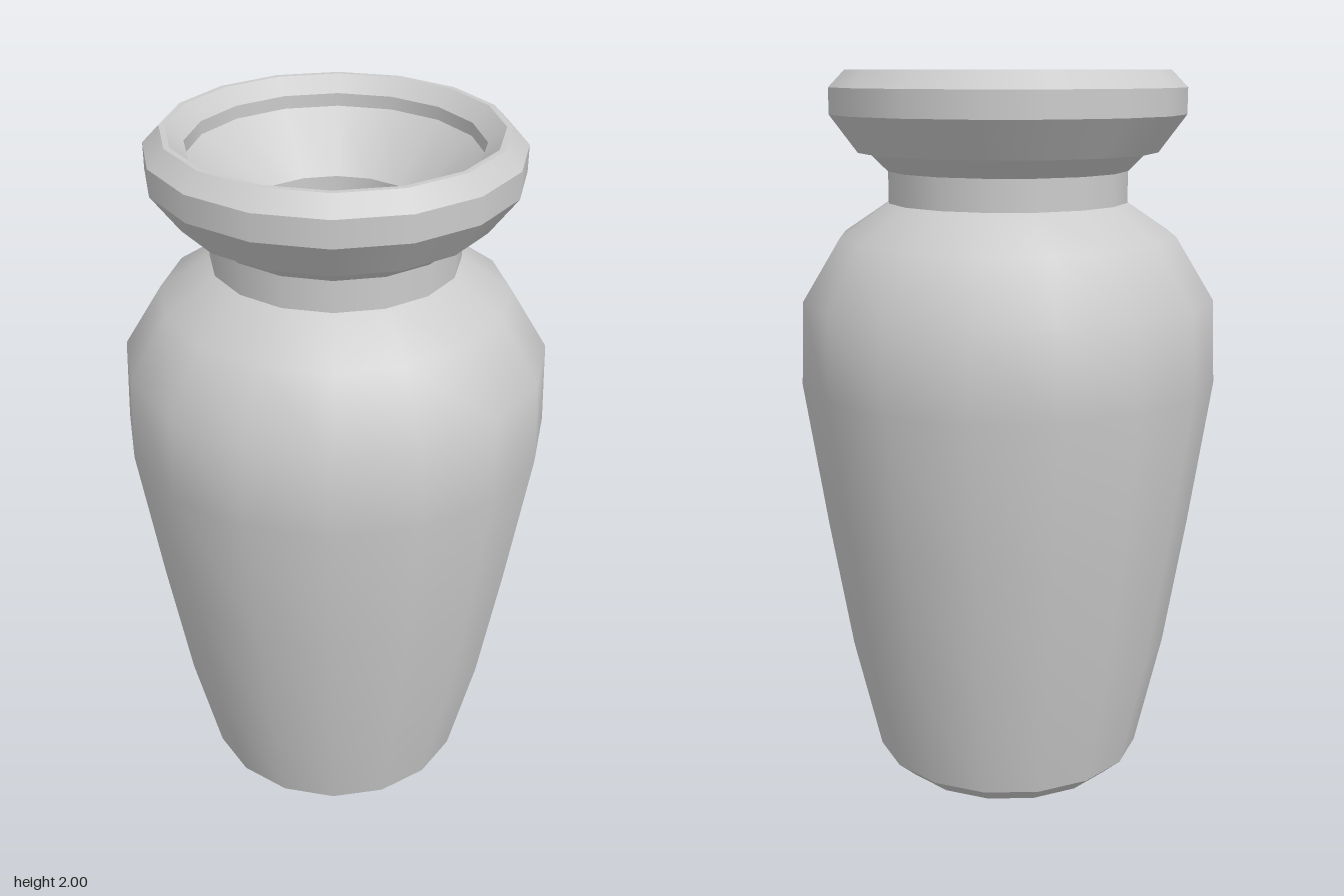
import * as THREE from 'three';

const SIDES = 16;

// Each strip is one smooth band of the profile; edges between strips stay sharp.
function addStrips(parent, name, strips, material) {
  const group = new THREE.Group();
  group.name = name;
  strips.forEach((strip, i) => {
    const points = strip.map(([r, y]) => new THREE.Vector2(r, y));
    const mesh = new THREE.Mesh(new THREE.LatheGeometry(points, SIDES), material);
    mesh.name = `${name}Band${i + 1}`;
    group.add(mesh);
  });
  parent.add(group);
}

// Splits a profile into one strip per segment, so every corner is sharp.
const sharp = (profile) => profile.slice(1).map((p, i) => [profile[i], p]);

export function createModel() {
  const vase = new THREE.Group();
  vase.name = 'vase';
  const clay = new THREE.MeshStandardMaterial({ color: 0xcccccc });

  // Flat underside and bevelled foot
  addStrips(vase, 'foot', sharp([[0, 0], [0.33, 0], [0.385, 0.05]]), clay);

  // Tapered body with rounded shoulder
  addStrips(vase, 'body', [[
    [0.385, 0.05], [0.46, 0.38], [0.52, 0.75], [0.58, 1.16],
    [0.57, 1.39], [0.465, 1.56], [0.33, 1.65],
  ]], clay);

  // Straight neck
  addStrips(vase, 'neck', [[[0.33, 1.65], [0.33, 1.735]]], clay);

  // Flared, stepped rim with bevelled lip
  addStrips(vase, 'rim', sharp([
    [0.33, 1.735], [0.38, 1.785], [0.41, 1.785], [0.484, 1.885],
    [0.484, 1.955], [0.44, 2], [0.425, 2], [0.38, 1.96], [0.38, 1.925],
  ]), clay);

  // Funnel mouth and narrow throat
  addStrips(vase, 'mouth', sharp([[0.38, 1.925], [0.232, 1.78], [0.232, 1.62]]), clay);

  // Hollow inside following the body, with a flat floor
  addStrips(vase, 'interior', [
    [[0.232, 1.62], [0.39, 1.5], [0.47, 1.36], [0.48, 1.16], [0.42, 0.75], [0.36, 0.38], [0.3, 0.1]],
    [[0.3, 0.1], [0, 0.1]],
  ], clay);

  return vase;
}
